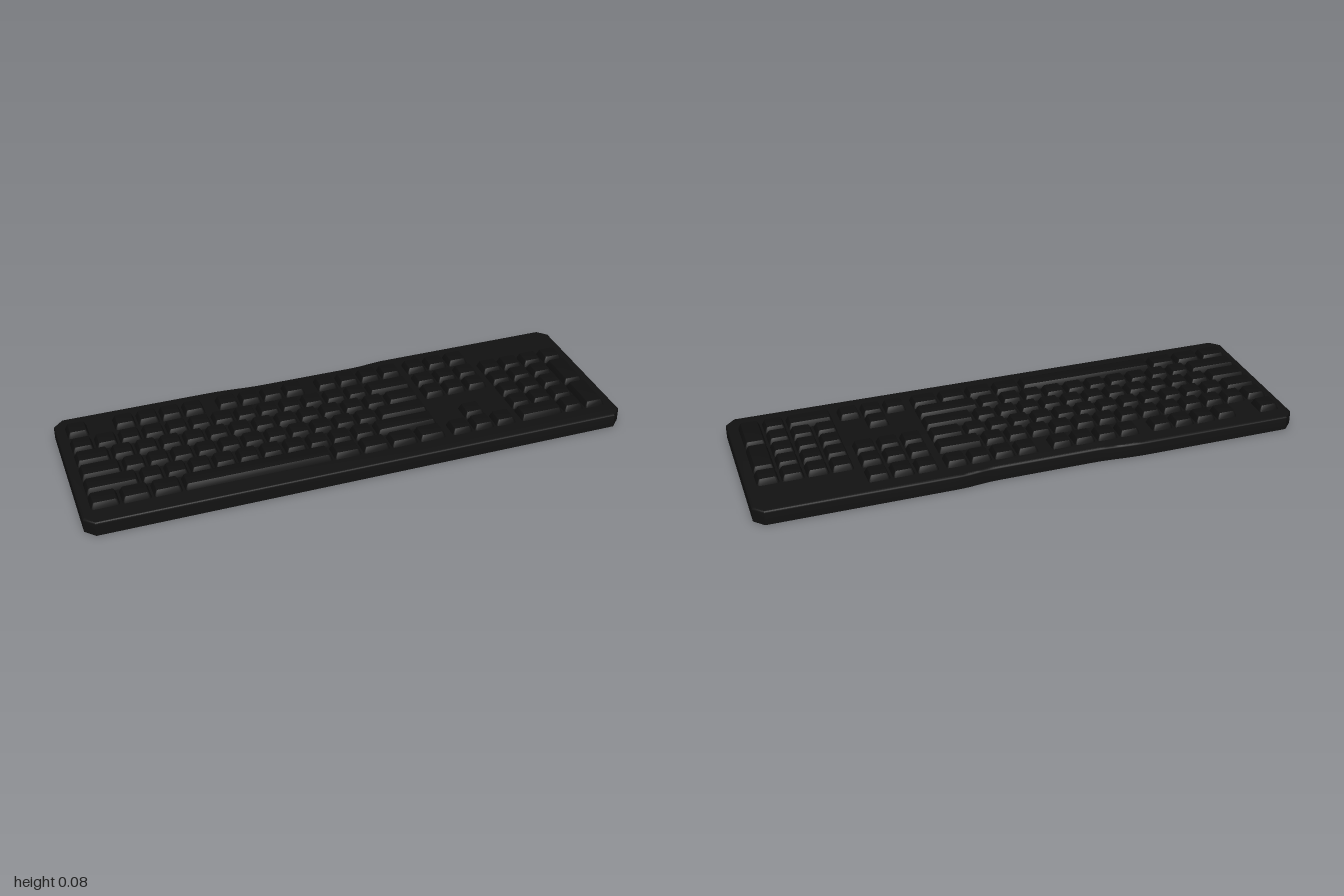
import * as THREE from 'three';
import { toCreasedNormals } from 'three/addons/utils/BufferGeometryUtils.js';

const U = 0.0862;        // width of one key unit
const GAP = 0.0085;      // gap between key bases
const DECK = 0.055;      // height of the case top
const ROWS = [-0.225, -0.126, -0.0413, 0.0434, 0.128, 0.2128];

// Case: chamfered slab with a shallow scoop in the rear edge and a rounded top edge
function caseGeometry() {
  const w = 1, d = 0.322, c = 0.035, r = 0.008;
  const s = new THREE.Shape();
  s.moveTo(-w + c, -d);
  s.lineTo(w - c, -d);
  s.lineTo(w, -d + c);
  s.lineTo(w, d - c);
  s.lineTo(w - c, d);
  s.lineTo(0.44, d);
  s.lineTo(0.3, d);
  s.bezierCurveTo(0.24, d, 0.22, 0.31, 0.14, 0.31);
  s.lineTo(-0.2, 0.31);
  s.bezierCurveTo(-0.28, 0.31, -0.32, d, -0.42, d);
  s.lineTo(-w + c, d);
  s.lineTo(-w, d - c);
  s.lineTo(-w, -d + c);
  s.closePath();
  const g = new THREE.ExtrudeGeometry(s, {
    depth: DECK - r - 0.001, curveSegments: 8,
    bevelEnabled: true, bevelThickness: r, bevelSize: r, bevelOffset: -r, bevelSegments: 3,
  });
  g.rotateX(-Math.PI / 2);
  // flatten the lower bevel so only the top edge is rounded
  const p = g.attributes.position;
  for (let i = 0; i < p.count; i++) p.setY(i, Math.max(0, p.getY(i)) + 0.001);
  g.computeVertexNormals();
  return toCreasedNormals(g, 0.6);
}

// Keycap: rounded rectangles lofted upward, tapering to a softened flat top
function keyGeometry(w, d) {
  const rings = [[0.05, -0.001], [DECK, 0], [0.0735, 0.0075], [0.0768, 0.0093], [0.078, 0.0125]];
  const arc = 3, n = 4 * (arc + 1), pos = [], idx = [];
  for (const [y, inset] of rings) {
    const r = 0.008 - inset * 0.25;
    for (let q = 0; q < 4; q++) {
      const sx = q === 0 || q === 3 ? 1 : -1, sz = q < 2 ? 1 : -1;
      for (let k = 0; k <= arc; k++) {
        const a = (q + k / arc) * Math.PI / 2;
        pos.push(sx * (w / 2 - inset - r) + r * Math.cos(a), y, sz * (d / 2 - inset - r) + r * Math.sin(a));
      }
    }
  }
  for (let j = 0; j < rings.length - 1; j++) {
    for (let i = 0; i < n; i++) {
      const a = j * n + i, b = j * n + (i + 1) % n;
      idx.push(a, a + n, b, b, a + n, b + n);
    }
  }
  const top = (rings.length - 1) * n;
  pos.push(0, 0.078, 0);
  for (let i = 0; i < n; i++) idx.push(top + n, top + (i + 1) % n, top + i);
  const g = new THREE.BufferGeometry();
  g.setAttribute('position', new THREE.Float32BufferAttribute(pos, 3));
  g.setIndex(idx);
  g.computeVertexNormals();
  return toCreasedNormals(g, 0.6);
}

const ones = (n) => Array(n).fill(1);

export function createModel() {
  const model = new THREE.Group();
  model.name = 'keyboard';
  const caseMat = new THREE.MeshStandardMaterial({ color: 0x111111 });
  const keyMat = new THREE.MeshStandardMaterial({ color: 0x0f0f0f });
  const plateMat = new THREE.MeshStandardMaterial({ color: 0x1c1c1c });

  const body = new THREE.Mesh(caseGeometry(), caseMat);
  body.name = 'case';
  model.add(body);

  // Thin plate on the underside
  const plate = new THREE.Mesh(new THREE.BoxGeometry(0.23, 0.002, 0.19), plateMat);
  plate.position.set(-0.33, 0.001, -0.07);
  plate.name = 'undersidePlate';
  model.add(plate);

  // Key blocks: each row is [row index, widths in units]; a negative width is a gap
  const blocks = [
    ['mainKeys', -0.968, [
      [0, [1, -1, ...ones(4), -0.5, ...ones(4), -0.5, ...ones(4)]],
      [1, [...ones(13), 2]],
      [2, [1.5, ...ones(12), 1.5]],
      [3, [1.75, ...ones(11), 2.25]],
      [4, [2.25, ...ones(10), 2.75]],
      [5, [1.25, 1.25, 1.25, 6.25, 1.25, 1.25, 1.25, 1.25]],
    ]],
    ['navigationKeys', 0.344, [
      [0, ones(3)], [1, ones(3)], [2, ones(3)],
      [4, [-1, 1]], [5, ones(3)],
    ]],
    ['numberPadKeys', 0.62, [
      [1, ones(4)], [2, ones(3)], [3, ones(3)], [4, ones(3)], [5, [2, 1]],
    ]],
  ];

  const cache = {};
  const addKey = (group, x, z, units, tall) => {
    const id = units + '|' + tall;
    const depth = tall ? ROWS[5] - ROWS[4] + 0.077 : 0.077;
    cache[id] ??= keyGeometry(units * U - GAP, depth);
    const key = new THREE.Mesh(cache[id], keyMat);
    key.name = 'key';
    key.position.set(x, 0, z);
    group.add(key);
  };

  for (const [name, startX, rows] of blocks) {
    const group = new THREE.Group();
    group.name = name;
    for (const [row, widths] of rows) {
      let x = startX;
      for (const u of widths) {
        const w = Math.abs(u) * U;
        if (u > 0) addKey(group, x + w / 2, ROWS[row], u, false);
        x += w;
      }
    }
    // Two double-height keys at the right of the number pad
    if (name === 'numberPadKeys') {
      for (const r of [2, 4]) addKey(group, startX + 3.5 * U, (ROWS[r] + ROWS[r + 1]) / 2, 1, true);
    }
    model.add(group);
  }
  return model;
}
